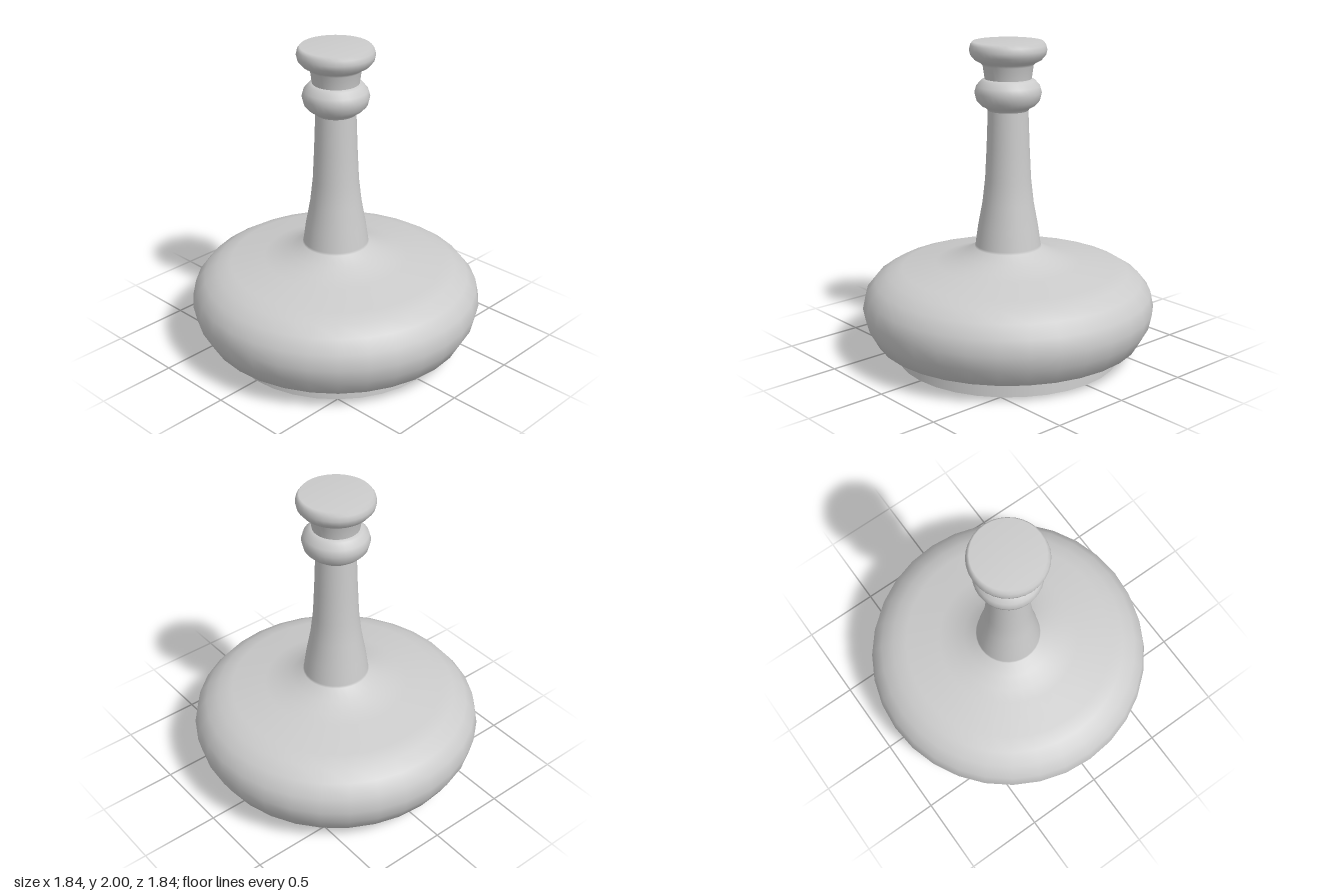
import * as THREE from 'three';

const SIDES = 32;

export function createModel() {
  const group = new THREE.Group();
  const material = new THREE.MeshStandardMaterial({ color: 0xcccccc });

  const add = (name, geometry) => {
    const mesh = new THREE.Mesh(geometry, material);
    mesh.name = name;
    group.add(mesh);
    return mesh;
  };
  // Turned part from [radius, height] pairs, listed bottom to top
  const turned = (name, profile) =>
    add(name, new THREE.LatheGeometry(profile.map(([r, y]) => new THREE.Vector2(r, y)), SIDES));

  // Short round foot with a flat underside
  add('foot', new THREE.CylinderGeometry(0.705, 0.71, 0.1, SIDES)).position.y = 0.05;

  // Squat bulb sweeping up into the tapered stem
  turned('bulbAndStem', [
    [0.70, 0.095], [0.72, 0.097], [0.84, 0.13], [0.9, 0.24], [0.92, 0.335],
    [0.9, 0.43], [0.84, 0.505], [0.76, 0.555], [0.67, 0.583], [0.455, 0.617],
    [0.37, 0.64], [0.29, 0.67], [0.21, 0.715], [0.205, 0.73], [0.188, 0.85],
    [0.16, 1.0], [0.143, 1.15], [0.133, 1.35], [0.125, 1.57], [0.125, 1.59],
  ]);

  // Rounded ring around the top of the stem
  turned('collar', [
    [0.125, 1.58], [0.135, 1.595], [0.165, 1.61], [0.193, 1.64], [0.206, 1.69],
    [0.195, 1.73], [0.165, 1.765], [0.145, 1.774], [0.13, 1.775],
  ]);

  // Flaring neck and flat-topped knob
  turned('neckAndKnob', [
    [0.143, 1.77], [0.155, 1.855], [0.17, 1.872], [0.205, 1.89], [0.23, 1.92],
    [0.237, 1.95], [0.23, 1.98], [0.215, 2], [0, 2],
  ]);

  return group;
}
